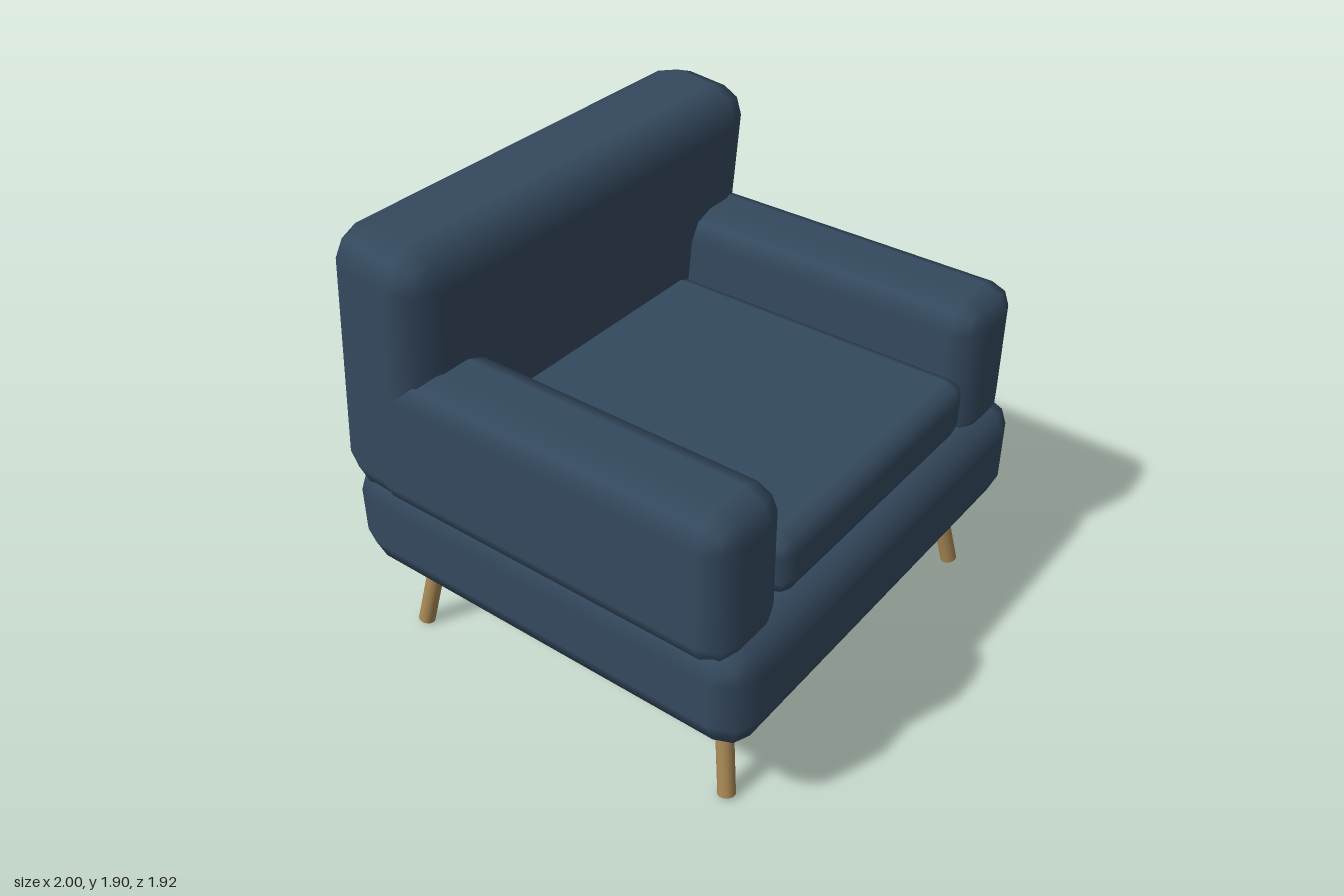
import * as THREE from 'three';
import { RoundedBoxGeometry } from 'three/addons/geometries/RoundedBoxGeometry.js';

export function createModel() {
  const model = new THREE.Group();
  model.name = 'armchair';
  const fabric = new THREE.MeshStandardMaterial({ name: 'blue fabric', color: 0x34495e });
  const wood = new THREE.MeshStandardMaterial({ name: 'light wood', color: 0xa78755 });

  // Padded block given by its extents on each axis
  const pad = (name, [x0, x1], [y0, y1], [z0, z1], radius) => {
    const mesh = new THREE.Mesh(
      new RoundedBoxGeometry(x1 - x0, y1 - y0, z1 - z0, 1, radius), fabric);
    mesh.name = name;
    mesh.position.set((x0 + x1) / 2, (y0 + y1) / 2, (z0 + z1) / 2);
    model.add(mesh);
    return mesh;
  };

  pad('base', [-1, 1], [0.385, 0.845], [-0.92, 0.96], 0.13);
  pad('seatCushion', [-0.64, 0.64], [0.835, 1.095], [-0.6, 0.887], 0.075);
  pad('leftArm', [0.623, 1], [0.735, 1.378], [-0.8, 0.893], 0.115);
  pad('rightArm', [-1, -0.623], [0.735, 1.378], [-0.8, 0.893], 0.115);

  // Backrest, tipped slightly forward
  const back = pad('backrest', [-1, 1], [0.725, 1.89], [-0.916, -0.456], 0.14);
  back.rotation.x = 0.1;

  // Splayed round legs, sunk into the base
  const up = new THREE.Vector3(0, 1, 0);
  for (const side of [1, -1]) {
    for (const [end, zTop, zFoot] of [['front', 0.728, 0.803], ['back', -0.678, -0.753]]) {
      const top = new THREE.Vector3(side * 0.76, 0.44, zTop);
      const foot = new THREE.Vector3(side * 0.833, 0.008, zFoot);
      const axis = top.clone().sub(foot);
      const leg = new THREE.Mesh(
        new THREE.CylinderGeometry(0.035, 0.035, axis.length(), 16), wood);
      leg.name = end + (side > 0 ? 'LeftLeg' : 'RightLeg');
      leg.position.copy(top).add(foot).multiplyScalar(0.5);
      leg.quaternion.setFromUnitVectors(up, axis.normalize());
      model.add(leg);
    }
  }
  return model;
}
